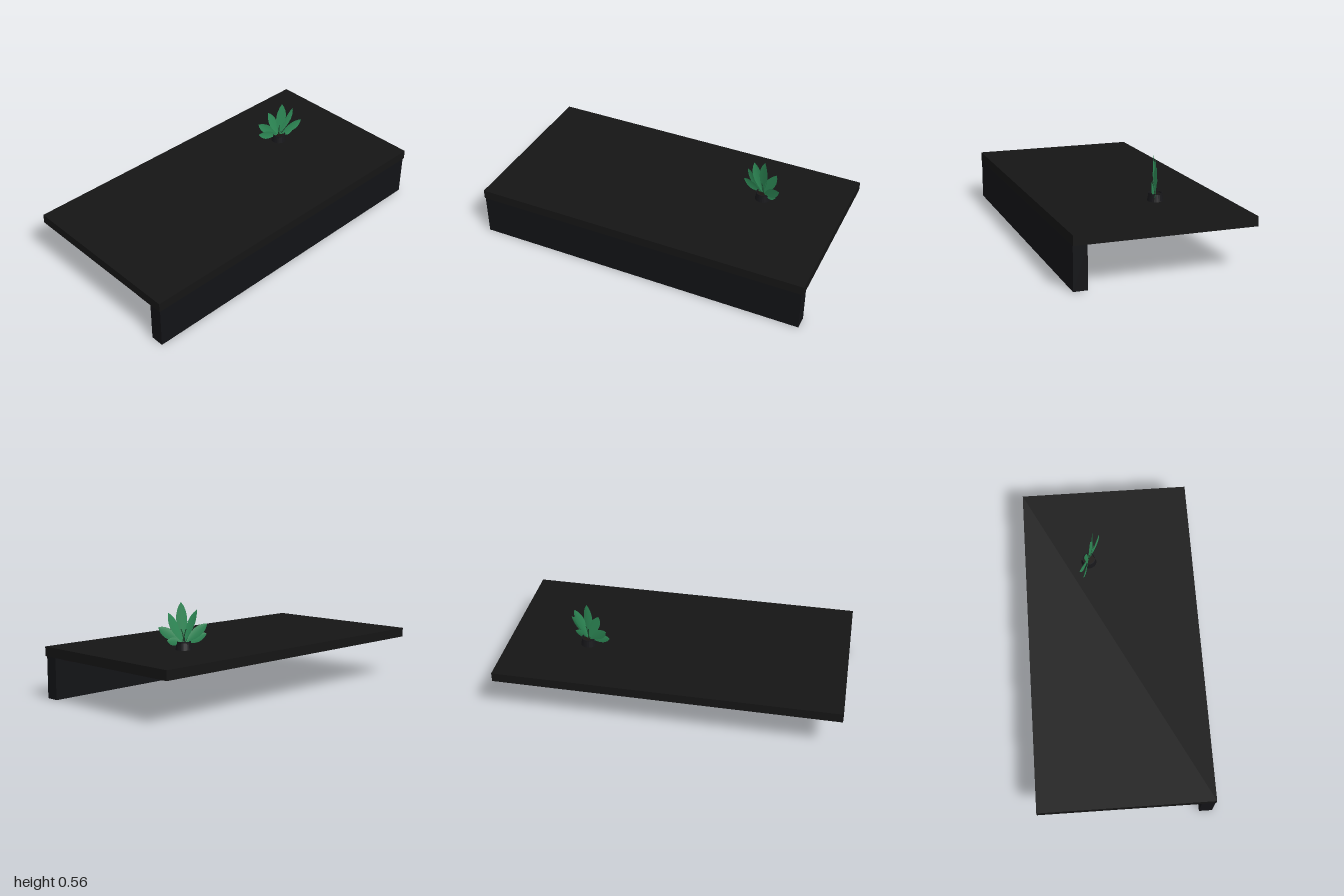
import * as THREE from 'three';

const mat = (color, opts = {}) => new THREE.MeshStandardMaterial({ color, ...opts });

function add(group, name, geometry, material, x = 0, y = 0, z = 0) {
  const mesh = new THREE.Mesh(geometry, material);
  mesh.name = name;
  mesh.position.set(x, y, z);
  group.add(mesh);
  return mesh;
}

// Box given by its minimum and maximum on each axis
function slab(group, name, [x0, x1], [y0, y1], [z0, z1], material) {
  const geometry = new THREE.BoxGeometry(x1 - x0, y1 - y0, z1 - z0);
  return add(group, name, geometry, material, (x0 + x1) / 2, (y0 + y1) / 2, (z0 + z1) / 2);
}

// Pointed leaf from base to tip, slightly folded along its midrib
function leafGeometry(base, tip, width, facing) {
  const along = tip.clone().sub(base);
  const side = along.clone().cross(facing).normalize();
  const normal = side.clone().cross(along).normalize();
  const geometry = new THREE.PlaneGeometry(1, 1, 2, 10);
  const pos = geometry.attributes.position;
  const p = new THREE.Vector3();
  for (let i = 0; i < pos.count; i++) {
    const s = pos.getX(i) * 2;
    const t = pos.getY(i) + 0.5;
    const half = (width / 2) * Math.pow(Math.sin(Math.PI * Math.pow(t, 1.25)), 0.8) || 0;
    p.copy(base).addScaledVector(along, t)
      .addScaledVector(side, s * half)
      .addScaledVector(normal, Math.abs(s) * half * 0.2);
    pos.setXYZ(i, p.x, p.y, p.z);
  }
  geometry.computeVertexNormals();
  return geometry;
}

export function createModel() {
  const model = new THREE.Group();
  model.name = 'deskWithPlant';

  // Desk
  const desk = new THREE.Group();
  desk.name = 'desk';
  model.add(desk);
  slab(desk, 'tabletop', [-1, 1], [0.243, 0.298], [-0.51, 0.51], mat(0x151515));
  slab(desk, 'frontPanel', [-0.995, 0.99], [0, 0.243], [0.43, 0.508], mat(0x121316));
  slab(desk, 'undersideRail', [-0.99, 0.95], [0.226, 0.243], [0.32, 0.42], mat(0x1c1519));

  // Potted plant
  const plant = new THREE.Group();
  plant.name = 'plant';
  plant.position.set(0.525, 0.298, -0.122);
  model.add(plant);

  // Hollow tapered pot with a small lip
  const profile = [[0, 0], [0.046, 0], [0.039, 0.04], [0.041, 0.041], [0.041, 0.046], [0.035, 0.046], [0.034, 0.036]]
    .map(([r, y]) => new THREE.Vector2(r, y));
  add(plant, 'pot', new THREE.LatheGeometry(profile, 24), mat(0x17171a, { side: THREE.DoubleSide, flatShading: true }));
  const soil = add(plant, 'soil', new THREE.CircleGeometry(0.034, 24), mat(0x1a1512), 0, 0.037, 0);
  soil.rotation.x = -Math.PI / 2;

  // Fan of leaves: tip offset, width
  const leafMat = mat(0x2e8b57, { side: THREE.DoubleSide });
  const fanFacing = new THREE.Vector3(-0.42, 0, 0.9);
  const flatFacing = new THREE.Vector3(0, 0, 1);
  const leaves = [
    [0.006, 0.264, 0.014, 0.064, fanFacing],
    [0.086, 0.21, 0.03, 0.056, flatFacing],
    [-0.074, 0.217, -0.028, 0.056, flatFacing],
    [0.121, 0.13, 0.073, 0.056, fanFacing],
    [-0.123, 0.138, -0.06, 0.056, fanFacing],
    [0.09, 0.055, 0.036, 0.045, fanFacing],
    [-0.138, 0.078, -0.04, 0.055, fanFacing],
  ];
  for (const [x, y, z, width, facing] of leaves) {
    const base = new THREE.Vector3(x * 0.06, 0.038, z * 0.1);
    add(plant, 'leaf', leafGeometry(base, new THREE.Vector3(x, y, z), width, facing), leafMat);
  }

  // Short dark stems in the middle
  const stemMat = mat(0x1d4a30);
  for (const a of [0.4, 2.2, 4.3]) {
    const curve = new THREE.QuadraticBezierCurve3(
      new THREE.Vector3(0, 0.035, 0),
      new THREE.Vector3(0, 0.08, 0),
      new THREE.Vector3(Math.cos(a) * 0.015, 0.115, Math.sin(a) * 0.015));
    add(plant, 'stem', new THREE.TubeGeometry(curve, 6, 0.0025, 6), stemMat);
  }

  return model;
}
